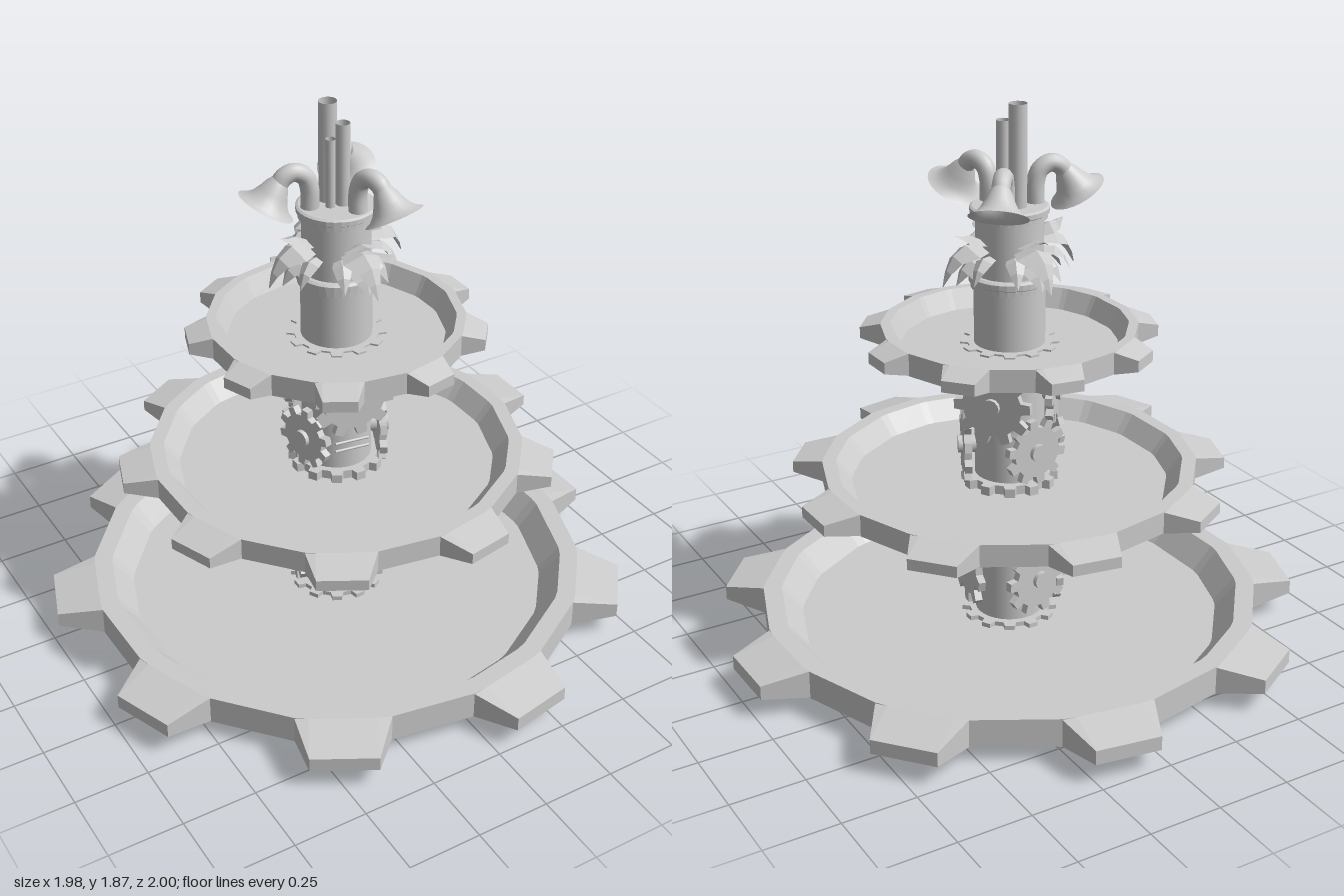
import * as THREE from 'three';

const D2R = Math.PI / 180;
const mat = new THREE.MeshStandardMaterial({ color: 0xcccccc, side: THREE.DoubleSide });
const flat = new THREE.MeshStandardMaterial({ color: 0xcccccc, side: THREE.DoubleSide, flatShading: true });

function add(parent, name, geometry, material = mat) {
  const m = new THREE.Mesh(geometry, material);
  m.name = name;
  parent.add(m);
  return m;
}

function lathe(points, segments = 32) {
  return new THREE.LatheGeometry(points.map(p => new THREE.Vector2(p[0], p[1])), segments);
}

// Joins rings (or rows) of points with quads
function loft(rings, closed = true) {
  const n = rings[0].length, pos = [], idx = [];
  rings.forEach(r => r.forEach(p => pos.push(...p)));
  for (let i = 0; i < rings.length - 1; i++) {
    for (let j = 0; j < (closed ? n : n - 1); j++) {
      const k = (j + 1) % n, a = i * n + j, b = i * n + k, c = a + n, d = b + n;
      idx.push(a, b, d, a, d, c);
    }
  }
  const g = new THREE.BufferGeometry();
  g.setAttribute('position', new THREE.Float32BufferAttribute(pos, 3));
  g.setIndex(idx);
  const out = g.toNonIndexed();
  out.computeVertexNormals();
  return out;
}

// Nine-toothed basin: s scales the plan, y runs from bottom to top
function basin(s, bottom, top) {
  const h = top - bottom, floor = bottom + 0.22 * h;
  const baseAng = Math.atan2(0.155, 0.845), rootAng = Math.atan2(0.11, 0.85);
  // one ring: base points and tip points take their own radius, half width and height
  const ring = (fn) => {
    const pts = [];
    for (let t = 0; t < 9; t++) {
      [-1, -0.5, 0.5, 1].forEach(k => {
        const [rad, tan, y] = fn(Math.abs(k) < 1, Math.sign(k));
        const a = (t * 40 + 0.8) * D2R;
        pts.push([s * (rad * Math.cos(a) + tan * Math.sin(a)), y, s * (tan * Math.cos(a) - rad * Math.sin(a))]);
      });
    }
    return pts;
  };
  const circle = (r, y) => ring((tip, k) => {
    const a = tip ? rootAng : baseAng;
    return [r * Math.cos(a), -k * r * Math.sin(a), y];
  });
  const outer = (tipRad, tipY, baseY) => ring((tip, k) =>
    tip ? [tipRad, -k * 0.11, tipY] : [0.845, -k * 0.155, baseY]);
  return loft([
    circle(0.125 / s, bottom),
    circle(0.71, bottom),
    outer(0.85, bottom + 0.1 * h, bottom + 0.1 * h),
    outer(0.997, bottom + 0.27 * h, bottom + 0.12 * h),
    outer(0.997, bottom + 0.72 * h, bottom + 0.97 * h),
    outer(0.85, top, top),
    circle(0.795, top),
    circle(0.725, floor),
    circle(0.125 / s, floor),
  ]);
}

// Flat cog outline, optionally with a round hole
function cog(R, root, teeth, depth, hole = 0) {
  const shape = new THREE.Shape(), step = 2 * Math.PI / teeth;
  for (let i = 0; i < teeth; i++) {
    [[root, -0.3], [R, -0.19], [R, 0.19], [root, 0.3]].forEach(([r, f], j) => {
      const a = (i + f) * step, x = r * Math.cos(a), y = r * Math.sin(a);
      if (i + j === 0) shape.moveTo(x, y); else shape.lineTo(x, y);
    });
  }
  shape.closePath();
  if (hole) shape.holes.push(new THREE.Path().absarc(0, 0, hole, 0, 2 * Math.PI, true));
  return new THREE.ExtrudeGeometry(shape, { depth, bevelEnabled: false, curveSegments: 16 });
}

// Ridged drooping leaf from stations of [distance, height, half width]
function leaf(stations) {
  return loft(stations.map(([r, y, w]) => [[-w, y - w * 0.45, r - w * 0.25], [0, y, r], [w, y - w * 0.45, r - w * 0.25]]), false);
}

export function createModel() {
  const model = new THREE.Group();
  model.name = 'tieredFountain';
  const body = new THREE.Group();
  body.name = 'fountainBody';
  body.position.x = -0.012;
  model.add(body);

  // Base ring and three basins
  add(body, 'baseRing', lathe([[0.69, 0.05], [0.69, 0], [0.71, 0], [0.71, 0.05]], 36), flat);
  [[1, 0.04, 0.15], [0.74, 0.55, 0.635], [0.495, 1.045, 1.13]].forEach(([s, b, t], i) => {
    add(body, 'basin' + (i + 1), basin(s, b, t), flat);
    const hub = add(body, 'hubCog' + (i + 1), cog(0.165, 0.14, 12, 0.05, 0.117), flat);
    hub.rotation.x = -Math.PI / 2;
    hub.position.y = [0.03, 0.55, 1.02][i];
  });

  // Hollow column with collars
  add(body, 'column', new THREE.CylinderGeometry(0.118, 0.118, 1.24, 32, 1, true)).position.y = 0.66;
  add(body, 'collar', lathe([[0.118, 1.262], [0.128, 1.262], [0.128, 1.28], [0.135, 1.284], [0.135, 1.302], [0.125, 1.308], [0.11, 1.308]]), flat);
  add(body, 'upperColumn', new THREE.CylinderGeometry(0.112, 0.112, 0.22, 32, 1, true)).position.y = 1.4;
  add(body, 'topCollar', lathe([[0.112, 1.492], [0.124, 1.495], [0.124, 1.51], [0.13, 1.514], [0.13, 1.53], [0.12, 1.535]]), flat);

  // Open pipes rising through the lid: x, z, radius, top
  const pipes = [[-0.01, -0.035, 0.03, 1.87], [0.015, 0.015, 0.023, 1.81], [-0.028, 0.012, 0.016, 1.765]];
  const lid = new THREE.Shape().absarc(0, 0, 0.122, 0, 2 * Math.PI, false);
  pipes.forEach(([x, z, r, top], i) => {
    lid.holes.push(new THREE.Path().absarc(x, -z, r * 0.95, 0, 2 * Math.PI, true));
    const p = add(body, 'pipe' + (i + 1), new THREE.CylinderGeometry(r, r, top - 1.5, 16, 1, true));
    p.position.set(x, (top + 1.5) / 2, z);
  });
  const lidMesh = add(body, 'lid', new THREE.ShapeGeometry(lid, 24));
  lidMesh.rotation.x = -Math.PI / 2;
  lidMesh.position.y = 1.535;

  // Three horns: bent neck and flared bell, built along +x
  const neckPath = new THREE.CatmullRomCurve3(
    [[0.088, 1.52], [0.088, 1.6], [0.103, 1.642], [0.138, 1.661], [0.17, 1.65], [0.19, 1.625]].map(p => new THREE.Vector3(p[0], p[1], 0)));
  [-168, -51, 70].forEach((deg, i) => {
    const horn = new THREE.Group();
    horn.name = 'horn' + (i + 1);
    horn.rotation.y = -deg * D2R;
    add(horn, 'hornNeck', new THREE.TubeGeometry(neckPath, 24, 0.03, 14));
    const bell = add(horn, 'hornBell', lathe([[0.026, 0], [0.038, 0.02], [0.048, 0.045], [0.061, 0.07], [0.078, 0.088], [0.097, 0.098]], 24));
    bell.position.set(0.182, 1.642, 0);
    bell.quaternion.setFromUnitVectors(new THREE.Vector3(0, 1, 0), new THREE.Vector3(0.5, -0.866, 0));
    body.add(horn);
  });

  // Layered leaf ornaments on four sides
  const leaves = [
    [[0.1, 1.43, 0.03], [0.15, 1.455, 0.055], [0.175, 1.455, 0.045], [0.205, 1.462, 0.002]],
    [[0.1, 1.42, 0.04], [0.165, 1.425, 0.065], [0.21, 1.395, 0.04], [0.235, 1.35, 0.02], [0.25, 1.3, 0.002]],
    [[0.1, 1.375, 0.03], [0.15, 1.375, 0.045], [0.18, 1.345, 0.03], [0.2, 1.295, 0.002]],
  ];
  for (let i = 0; i < 4; i++) {
    const tuft = new THREE.Group();
    tuft.name = 'leafOrnament' + (i + 1);
    tuft.rotation.y = (i * 90 + 1) * D2R;
    leaves.forEach(st => add(tuft, 'leaf', leaf(st), flat));
    // side fronds
    [-1, 1].forEach(k => {
      const frond = add(tuft, 'sideFrond', leaf(leaves[2].map(([r, y, w]) => [r, y + 0.015, w * 0.7])), flat);
      frond.rotation.y = k * 24 * D2R;
    });
    body.add(tuft);
  }

  // Cogs around the column: angle from the front, height, radius
  [[2, 0.39, 0.14], [78, 0.28, 0.155], [150, 0.42, 0.1], [190, 0.24, 0.13], [-70, 0.42, 0.105], [-105, 0.22, 0.125],
    [-8, 0.89, 0.14], [65, 0.7, 0.13], [128, 0.89, 0.135], [185, 0.72, 0.115], [-75, 0.72, 0.11], [-130, 0.9, 0.11],
  ].forEach(([deg, y, R], i) => {
    const g = new THREE.Group();
    g.name = 'wallCog' + (i + 1);
    g.rotation.y = deg * D2R;
    g.position.y = y;
    const wheel = add(g, 'cogWheel', cog(R, R * 0.77, 10, 0.025), flat);
    wheel.position.z = 0.135;
    wheel.rotation.z = i * 0.4;
    const axle = add(g, 'cogAxle', new THREE.CylinderGeometry(0.03, 0.03, 0.07, 12));
    axle.rotation.x = Math.PI / 2;
    axle.position.z = 0.14;
    body.add(g);
  });

  // Thin rungs fixed to the column
  [[-8, 0.7], [152, 0.5], [-90, 0.98]].forEach(([deg, y]) => {
    const g = new THREE.Group();
    g.name = 'rungs';
    g.rotation.y = deg * D2R;
    for (const dy of [-0.015, 0.015]) {
      const rung = add(g, 'rung', new THREE.CylinderGeometry(0.005, 0.005, 0.12, 8));
      rung.rotation.z = Math.PI / 2;
      rung.position.set(0, y + dy, 0.135);
    }
    body.add(g);
  });

  return model;
}
